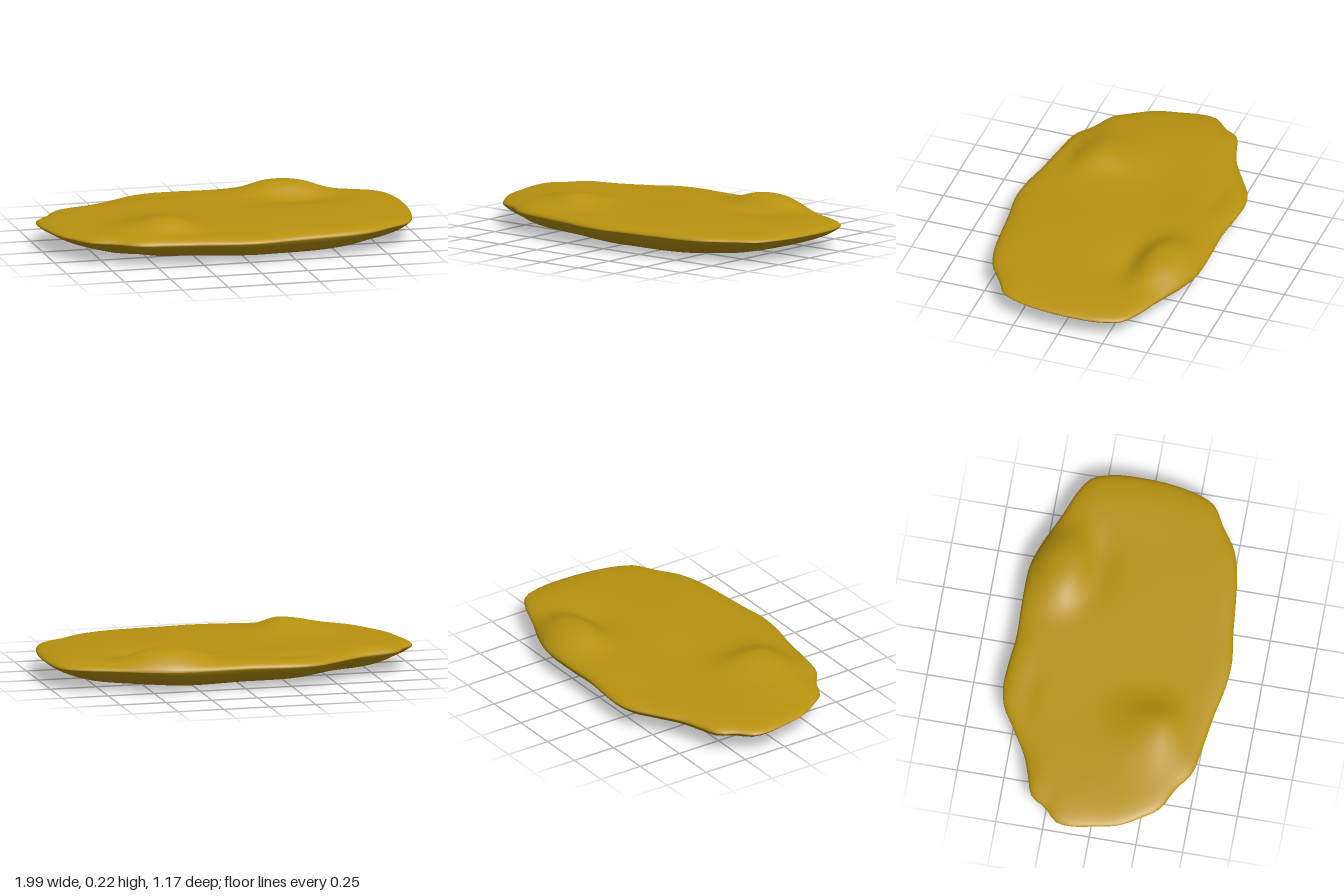
import * as THREE from 'three';

// Rim outline as seen from above: x, z pairs, from the left end round the front
const RIM = [
  0.99, -0.1, 0.98, 0.1, 0.94, 0.27, 0.9, 0.34, 0.8, 0.4, 0.68, 0.48, 0.55, 0.52, 0.4, 0.54,
  0.2, 0.56, 0.05, 0.58, -0.1, 0.57, -0.25, 0.54, -0.45, 0.51, -0.6, 0.48, -0.7, 0.41,
  -0.82, 0.35, -0.88, 0.27, -0.95, 0.15, -0.98, 0.02, -1, -0.1, -0.99, -0.18, -0.92, -0.25,
  -0.87, -0.33, -0.76, -0.37, -0.65, -0.41, -0.5, -0.5, -0.4, -0.56, -0.3, -0.585,
  -0.15, -0.58, 0, -0.565, 0.2, -0.57, 0.4, -0.565, 0.52, -0.53, 0.7, -0.45, 0.85, -0.39,
  0.94, -0.33, 0.98, -0.22,
];
const SECTORS = 128;
const RINGS = 36;

// Soft mound with a different spread on each side of its centre
function mound(x, z, cx, cz, right, left, front, back, power = 2) {
  const dx = (x - cx) / (x > cx ? right : left);
  const dz = (z - cz) / (z > cz ? front : back);
  return Math.exp(-Math.pow(dx * dx + dz * dz, power / 2));
}

// Upper face: flat with a rounded rim, two lumps and shallow dents
function topHeight(x, z, t) {
  const rim = Math.sqrt(1 - Math.pow(t, 9));
  const ripple = 0.004 * Math.sin(5 * x + 3 * z) * Math.cos(6 * z - 2 * x);
  const relief =
    0.066 * mound(x, z, 0.42, -0.38, 0.2, 0.22, 0.13, 0.17, 3) +
    0.056 * mound(x, z, -0.38, 0.26, 0.12, 0.22, 0.13, 0.2) -
    0.016 * mound(x, z, 0.5, -0.2, 0.16, 0.2, 0.1, 0.08) -
    0.012 * mound(x, z, -0.36, 0.42, 0.14, 0.14, 0.06, 0.06) -
    0.01 * mound(x, z, -0.28, -0.44, 0.16, 0.16, 0.06, 0.06);
  return 0.12 + rim * (0.041 + ripple + relief);
}

// Underside: a shallow bowl, a little deeper toward the left
function bottomHeight(x, z, t) {
  const depth = 0.102 + 0.016 * Math.exp(-(((x - 0.35) / 0.45) ** 2));
  return 0.12 - depth * Math.pow(1 - Math.pow(t, 6), 0.85);
}

function createBody() {
  const points = [];
  for (let i = 0; i < RIM.length; i += 2) points.push(new THREE.Vector3(RIM[i], 0, RIM[i + 1]));
  const outline = new THREE.CatmullRomCurve3(points, true, 'centripetal').getSpacedPoints(SECTORS);

  // Rings run from the top centre over the rim to the bottom centre
  const position = [];
  const index = [];
  const total = RINGS * 2;
  for (let r = 1; r < total; r++) {
    const t = Math.min(1, Math.sin((Math.PI * r) / total));
    const height = r <= RINGS ? topHeight : bottomHeight;
    for (let s = 0; s < SECTORS; s++) {
      const x = outline[s].x * t;
      const z = outline[s].z * t;
      position.push(x, height(x, z, t), z);
    }
  }
  const top = position.length / 3;
  position.push(0, topHeight(0, 0, 0), 0, 0, bottomHeight(0, 0, 0), 0);

  for (let s = 0; s < SECTORS; s++) {
    const n = (s + 1) % SECTORS;
    index.push(top, n, s);
    for (let r = 0; r < total - 2; r++) {
      const a = r * SECTORS;
      const b = a + SECTORS;
      index.push(a + s, a + n, b + s, a + n, b + n, b + s);
    }
    const last = (total - 2) * SECTORS;
    index.push(top + 1, last + s, last + n);
  }

  const geometry = new THREE.BufferGeometry();
  geometry.setAttribute('position', new THREE.Float32BufferAttribute(position, 3));
  geometry.setIndex(index);
  geometry.computeVertexNormals();
  return geometry;
}

export function createModel() {
  const group = new THREE.Group();
  group.name = 'flatNugget';
  const body = new THREE.Mesh(createBody(), new THREE.MeshStandardMaterial({ color: 0xb8920f }));
  body.name = 'body';
  group.add(body);
  return group;
}
